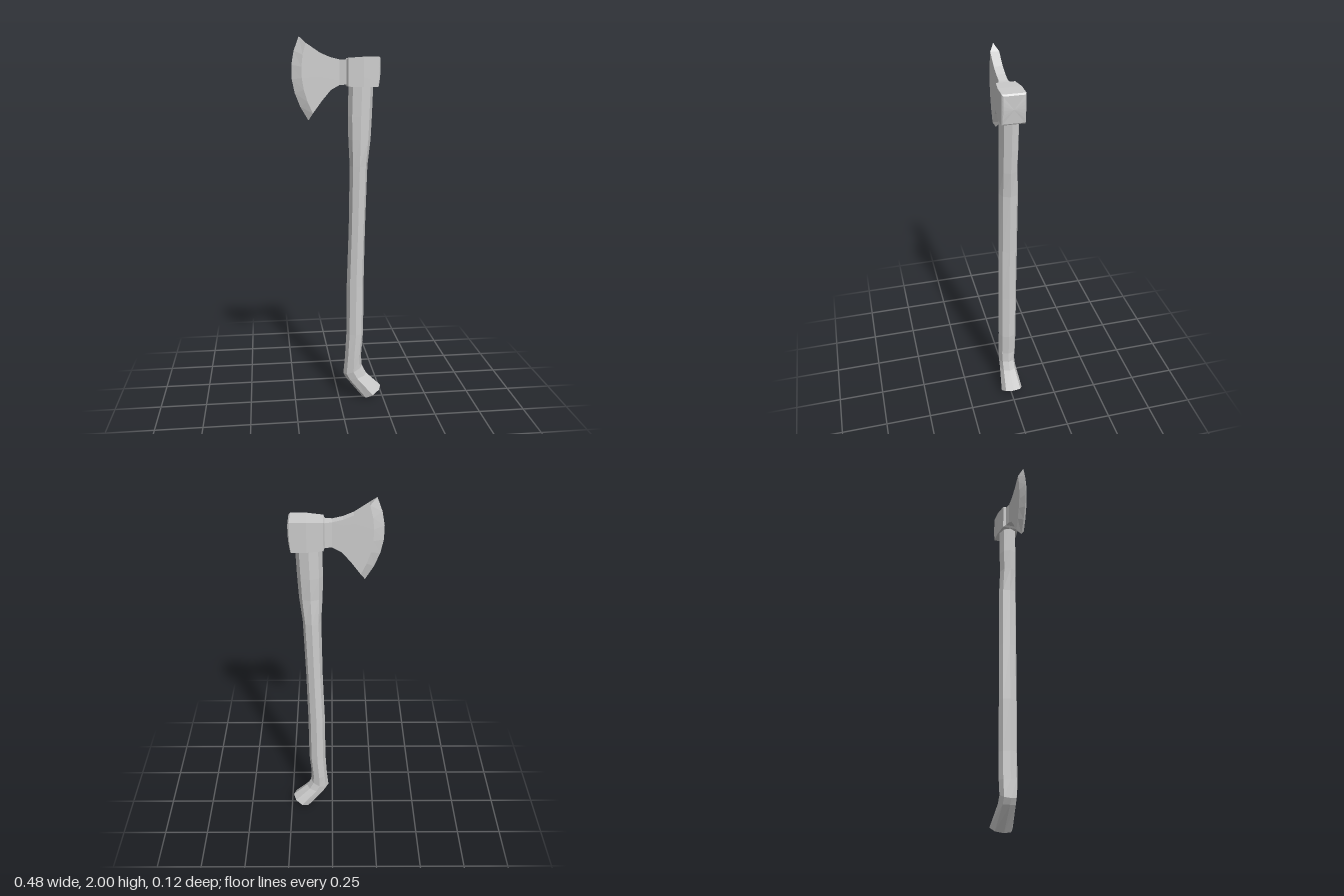
import * as THREE from 'three';

// Skins a list of equal-length rings (arrays of [x, y, z]) and caps both ends.
function loft(rings) {
  const pos = [];
  const n = rings[0].length;
  const tri = (...pts) => pts.forEach((p) => pos.push(...p));
  const centre = (ring) => [0, 1, 2].map((i) => ring.reduce((s, p) => s + p[i], 0) / n);
  for (let i = 0; i < rings.length - 1; i++) {
    for (let k = 0; k < n; k++) {
      const m = (k + 1) % n;
      tri(rings[i][k], rings[i][m], rings[i + 1][m]);
      tri(rings[i][k], rings[i + 1][m], rings[i + 1][k]);
    }
  }
  const first = rings[0], last = rings[rings.length - 1];
  const c0 = centre(first), c1 = centre(last);
  for (let k = 0; k < n; k++) {
    const m = (k + 1) % n;
    tri(c0, first[m], first[k]);
    tri(c1, last[k], last[m]);
  }
  const geo = new THREE.BufferGeometry();
  geo.setAttribute('position', new THREE.Float32BufferAttribute(pos, 3));
  geo.computeVertexNormals();
  return geo;
}

// Eight-sided handle ring between a left and a right point in the xy plane.
function handleRing([lx, ly, rx, ry, depth, zc]) {
  const ring = [];
  for (let k = 0; k < 8; k++) {
    const a = (k / 8) * Math.PI * 2;
    const t = (1 + Math.cos(a)) / 2;
    ring.push([lx + (rx - lx) * t, ly + (ry - ly) * t, zc + depth * Math.sin(a)]);
  }
  return ring;
}

// Head ring: down the front face from top to bottom, then up the back face.
function headRing([tx, ty, bx, by, bulge, z]) {
  const rows = 6;
  const side = (sign) => Array.from({ length: rows + 1 }, (_, j) => {
    const t = j / rows;
    const x = tx + (bx - tx) * t - bulge * 4 * t * (1 - t);
    return [x, ty + (by - ty) * t, 0.002 + sign * z];
  });
  return [...side(1), ...side(-1).reverse()];
}

export function createModel() {
  const group = new THREE.Group();
  const grey = new THREE.MeshStandardMaterial({ color: 0xcccccc });
  grey.name = 'light grey';
  grey.flatShading = true;

  // Handle, top to bottom: left x, y, right x, y, half depth, z centre
  const handle = new THREE.Mesh(loft([
    [0.05, 1.84, 0.18, 1.84, 0.049, 0.003],
    [0.045, 1.6, 0.172, 1.6, 0.049, 0.003],
    [0.048, 1.48, 0.166, 1.48, 0.047, 0.005],
    [0.056, 1.34, 0.151, 1.34, 0.05, 0.002],
    [0.052, 1.0, 0.141, 1.0, 0.05, 0.002],
    [0.042, 0.68, 0.136, 0.68, 0.05, 0.002],
    [0.041, 0.4, 0.136, 0.4, 0.05, 0.002],
    [0.033, 0.25, 0.125, 0.26, 0.05, 0.002],
    [0.024, 0.155, 0.13, 0.2, 0.046, 0.002],
    [0.04, 0.125, 0.155, 0.15, 0.047, 0.001],
    [0.135, 0.003, 0.239, 0.068, 0.061, -0.002],
  ].map(handleRing)), grey);
  handle.name = 'handle';
  group.add(handle);

  // Head, cutting edge to poll: top x, y, bottom x, y, forward bulge, half thickness
  const head = new THREE.Mesh(loft([
    [-0.205, 2.0, -0.16, 1.58, 0.061, 0],
    [-0.172, 1.968, -0.138, 1.617, 0.038, 0.022],
    [-0.1, 1.92, -0.09, 1.682, 0.015, 0.022],
    [-0.05, 1.899, -0.045, 1.735, 0, 0.022],
    [0, 1.887, 0, 1.76, 0, 0.022],
    [0.035, 1.886, 0.035, 1.762, 0, 0.031],
    [0.042, 1.895, 0.042, 1.752, 0, 0.046],
    [0.12, 1.9, 0.12, 1.75, 0, 0.057],
    [0.198, 1.9, 0.194, 1.75, -0.004, 0.057],
    [0.205, 1.893, 0.198, 1.756, -0.004, 0.051],
  ].map(headRing)), grey);
  head.name = 'axeHead';
  group.add(head);

  return group;
}
